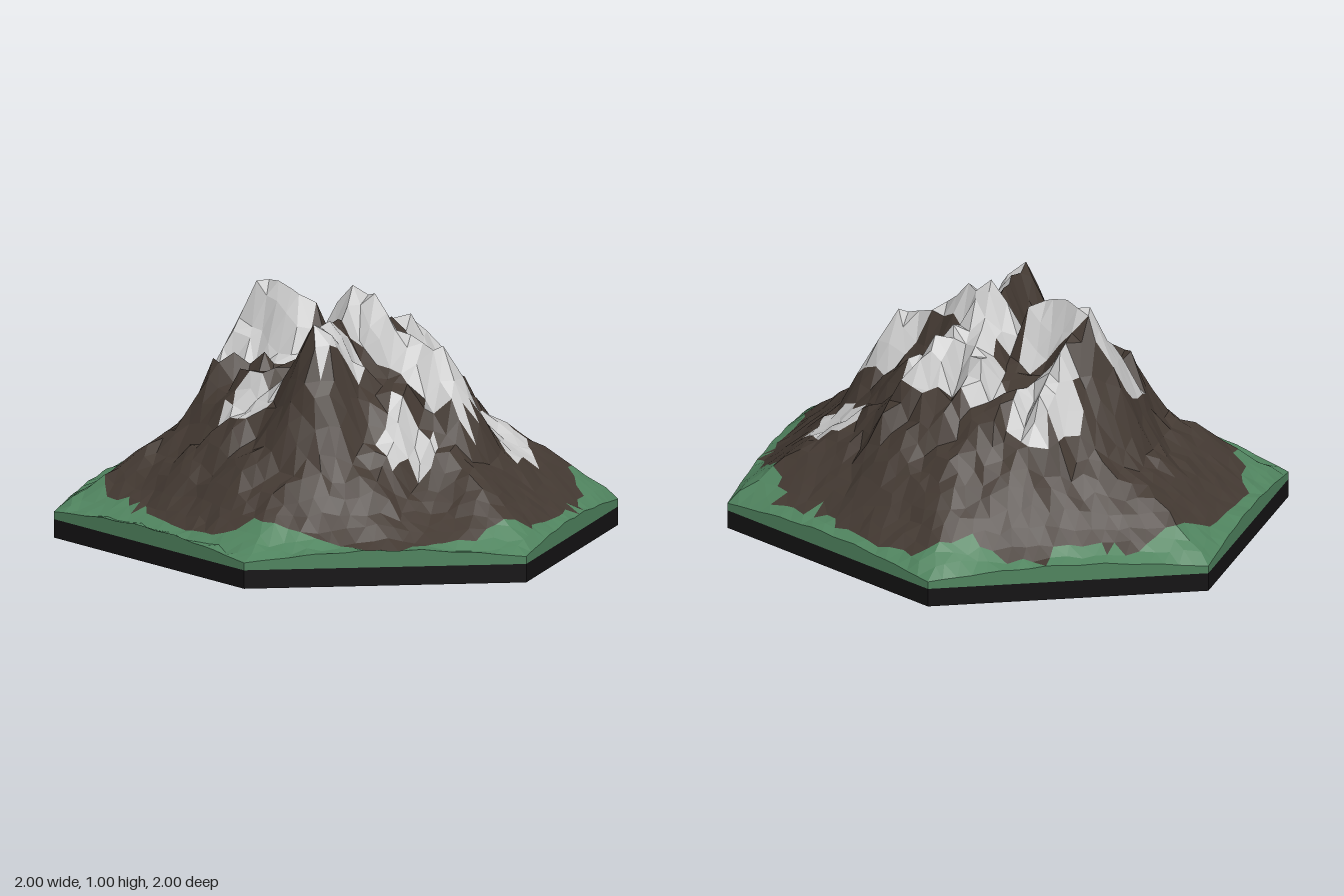
import * as THREE from 'three';

const N = 19; // rings of the triangulated hexagon
const SLAB = 0.075;
const CORNERS = [[0, 1], [1, 0.5], [1, -0.5], [0, -1], [-1, -0.5], [-1, 0.5]];

// Mountain profile: radius, height
const PROFILE = [[0, 0.72], [0.3, 0.69], [0.4, 0.63], [0.5, 0.52], [0.6, 0.425], [0.7, 0.335],
  [0.8, 0.245], [0.9, 0.165], [1, 0.118], [1.2, 0.1]];

// Ridge lines: x, z, height along each crest
const RIDGES = [
  [[-0.48, 0.04, 0.71], [-0.36, -0.11, 1.0], [-0.17, -0.04, 0.98], [-0.04, -0.05, 0.88], [0.06, -0.05, 1.03],
    [0.22, 0, 0.93], [0.38, 0.03, 0.82], [0.5, 0.03, 0.79], [0.58, -0.02, 0.57]],
  [[0.06, -0.05, 1.03], [0.06, 0.08, 0.9], [0.07, 0.2, 0.93], [0.06, 0.33, 0.98], [0.05, 0.41, 0.72]],
  [[-0.36, -0.11, 0.98], [-0.32, -0.23, 0.88], [-0.27, -0.38, 0.75]],
  [[0.06, -0.05, 0.95], [0.02, -0.33, 0.8]],
  [[0.1, -0.08, 0.96], [0.15, -0.17, 0.89], [0.21, -0.29, 0.88], [0.35, -0.41, 0.64]],
  [[-0.45, 0.14, 0.73], [-0.36, 0.14, 0.72], [-0.27, 0.27, 0.68]],
];

// Hollows in the flanks: x, z, radius, depth
const HOLLOWS = [[0.5, 0.4, 0.28, 0.08], [-0.1, 0.42, 0.16, 0.05]];

// Outlines seen from above: x, z
const ROCK = [[0.98, -0.12], [0.93, 0.3], [0.75, 0.52], [0.4, 0.75], [0, 0.79], [-0.2, 0.8], [-0.4, 0.7], [-0.8, 0.45],
  [-0.95, 0.1], [-0.93, -0.25], [-0.73, -0.57], [-0.42, -0.68], [-0.42, -0.77], [-0.12, -0.81], [0.05, -0.88],
  [0.27, -0.83], [0.53, -0.65], [0.75, -0.57], [0.9, -0.3]];
const SNOW = [
  [[-0.54, -0.1], [-0.45, -0.16], [-0.1, -0.17], [-0.1, 0.1], [-0.3, 0.12], [-0.54, 0.08]],
  [[-0.3, -0.2], [-0.42, -0.36], [-0.25, -0.5], [-0.13, -0.45], [-0.2, -0.25]],
  [[-0.12, -0.35], [0, -0.43], [0.13, -0.37], [0.25, -0.4], [0.35, -0.36], [0.37, -0.2], [0.32, -0.15],
    [0.2, -0.25], [0.15, -0.1], [0.3, 0], [0.48, -0.08], [0.6, -0.02], [0.6, 0.11], [0.5, 0.14],
    [0.2, 0.1], [-0.05, 0.1], [-0.07, -0.1], [0, -0.2]],
  [[0.03, 0.33], [0.09, 0.14], [0.18, 0.13], [0.23, 0.2], [0.15, 0.3], [0.08, 0.42]],
  [[-0.4, 0.35], [-0.25, 0.23], [-0.12, 0.33], [-0.15, 0.41], [-0.25, 0.41]],
  [[0.32, 0.22], [0.52, 0.2], [0.52, 0.3], [0.43, 0.33], [0.4, 0.43], [0.34, 0.38]],
  [[0.5, -0.22], [0.56, -0.32], [0.68, -0.32], [0.77, -0.2], [0.73, -0.08], [0.63, -0.1]],
];

const { lerp, clamp, smoothstep } = THREE.MathUtils;

// Repeatable value in -1..1 for a position
function hash(x, z, seed) {
  const s = Math.sin(Math.round(x * 1e4) * 0.1271 + Math.round(z * 1e4) * 0.3117 + seed * 74.7) * 43758.5453;
  return (s - Math.floor(s)) * 2 - 1;
}

// Nearest point on segment a-b: fraction along it, position and distance
function nearest(a, b, x, z) {
  const dx = b[0] - a[0], dz = b[1] - a[1];
  const t = clamp(((x - a[0]) * dx + (z - a[1]) * dz) / (dx * dx + dz * dz), 0, 1);
  const px = a[0] + dx * t, pz = a[1] + dz * t;
  return { t, px, pz, d: Math.hypot(x - px, z - pz) };
}

function inside(poly, x, z) {
  let hit = false;
  poly.forEach(([ax, az], i) => {
    const [bx, bz] = poly[(i + 1) % poly.length];
    if ((az > z) !== (bz > z) && x < ax + (bx - ax) * (z - az) / (bz - az)) hit = !hit;
  });
  return hit;
}

// Pull a point onto an outline that passes close by, for clean colour borders
function snap(x, z) {
  let best = { px: x, pz: z, d: 0.02 };
  for (const poly of [ROCK, ...SNOW]) {
    poly.forEach((a, i) => {
      const n = nearest(a, poly[(i + 1) % poly.length], x, z);
      if (n.d < best.d) best = n;
    });
  }
  return [best.px, best.pz];
}

function profileHeight(r) {
  const i = Math.max(1, PROFILE.findIndex((p) => p[0] >= r));
  const [a, b] = [PROFILE[i - 1], PROFILE[i]];
  return lerp(a[1], b[1], (r - a[0]) / (b[0] - a[0]));
}

// Base slope: slightly off centre, round above and six-sided at the foot
function baseHeight(x, z) {
  const bx = Math.abs(x - 0.01), bz = Math.abs(z + 0.03);
  const r = Math.hypot(bx, bz);
  const hex = Math.max(bx * 0.96, bz + bx / 2);
  return profileHeight(lerp(r, hex, smoothstep(r, 0.5, 0.85)));
}

// Base with gullies and hollows, and steep crests standing on it
function height(x, z) {
  const r = Math.hypot(x, z);
  const rough = 1 - smoothstep(r, 0.4, 0.9);
  const gully = Math.sin(Math.atan2(z, x) * 13 + 4 * Math.sin(r * 7));
  let y = baseHeight(x, z) + 0.03 * gully * rough * Math.min(1, r * 3);
  for (const [hx, hz, radius, depth] of HOLLOWS) {
    y -= depth * (1 - smoothstep(Math.hypot(x - hx, z - hz), 0, radius));
  }
  for (const ridge of RIDGES) {
    for (let i = 1; i < ridge.length; i++) {
      const { t, d } = nearest(ridge[i - 1], ridge[i], x, z);
      y = Math.max(y, lerp(ridge[i - 1][2], ridge[i][2], t) - 2.2 * d);
    }
  }
  return Math.min(1, y + hash(x, z, 3) * (0.005 + 0.02 * rough));
}

// Lattice point in one sector; rim points stay on the hexagon
function surfacePoint(sector, i, j) {
  const a = CORNERS[sector], b = CORNERS[(sector + 1) % 6];
  const x = (a[0] * (i - j) + b[0] * j) / N;
  const z = (a[1] * (i - j) + b[1] * j) / N;
  if (i === N) return [x, 0.105 + (0.038 + 0.004 * Math.sin(j * 1.7)) * Math.sin(Math.PI * j / N), z];
  const [sx, sz] = snap(x + hash(x, z, 1) * 0.013, z + hash(x, z, 2) * 0.013);
  return [sx, height(sx, sz), sz];
}

function facetMesh(name, positions, color) {
  const g = new THREE.BufferGeometry();
  g.setAttribute('position', new THREE.Float32BufferAttribute(positions, 3));
  g.computeVertexNormals();
  const mesh = new THREE.Mesh(g, new THREE.MeshStandardMaterial({ color, flatShading: true }));
  mesh.name = name;
  return mesh;
}

export function createModel() {
  const group = new THREE.Group();
  group.name = 'mountainTile';
  const parts = { grass: [], rock: [], snow: [], slab: [] };

  // Terrain triangles, sorted by ground cover
  const addFace = (a, b, c) => {
    const x = (a[0] + b[0] + c[0]) / 3, z = (a[2] + b[2] + c[2]) / 3;
    const cover = SNOW.some((p) => inside(p, x, z)) ? 'snow' : inside(ROCK, x, z) ? 'rock' : 'grass';
    parts[cover].push(...a, ...b, ...c);
  };
  // Upright quad under the edge p-q
  const addWall = (list, p, q, pTop, qTop, low) => {
    const a = [p[0], low, p[2]], b = [q[0], low, q[2]];
    const c = [q[0], qTop, q[2]], d = [p[0], pTop, p[2]];
    list.push(...a, ...b, ...c, ...a, ...c, ...d);
  };

  for (let s = 0; s < 6; s++) {
    for (let i = 0; i < N; i++) {
      for (let j = 0; j <= i; j++) {
        const p = surfacePoint(s, i, j);
        const q = surfacePoint(s, i + 1, j), r = surfacePoint(s, i + 1, j + 1);
        addFace(p, q, r);
        if (j < i) addFace(p, r, surfacePoint(s, i, j + 1));
        if (i === N - 1) addWall(parts.grass, q, r, q[1], r[1], SLAB);
      }
    }
    // Slab side and underside
    const [ax, az] = CORNERS[s], [bx, bz] = CORNERS[(s + 1) % 6];
    addWall(parts.slab, [ax, 0, az], [bx, 0, bz], SLAB, SLAB, 0);
    parts.grass.push(0, 0, 0, bx, 0, bz, ax, 0, az);
  }

  group.add(
    facetMesh('grass', parts.grass, 0x50845f),
    facetMesh('rock', parts.rock, 0x433932),
    facetMesh('snow', parts.snow, 0xd0d0d0),
    facetMesh('slab', parts.slab, 0x141314),
  );
  return group;
}
